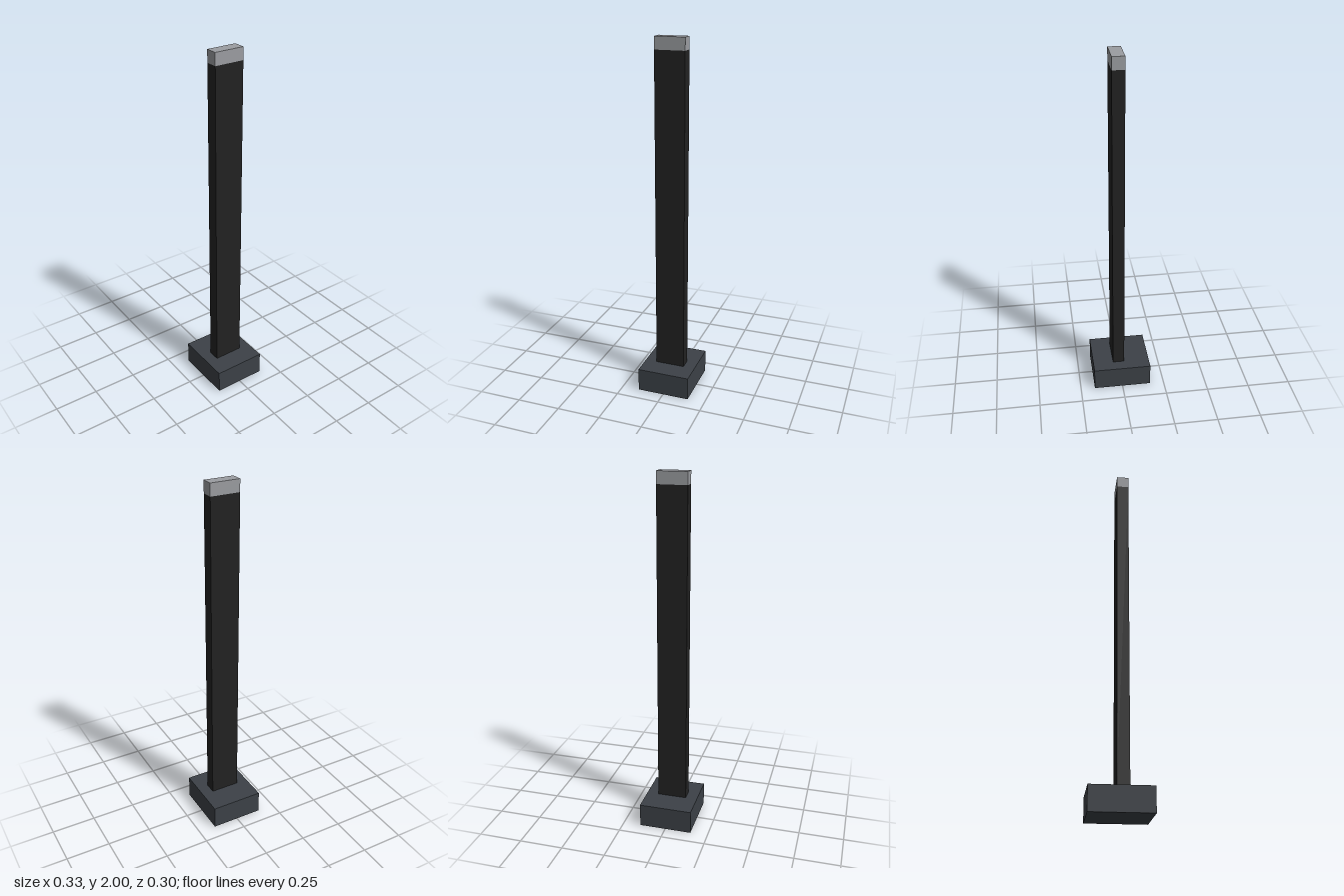
import * as THREE from 'three';

const baseMat = new THREE.MeshStandardMaterial({ name: 'slate grey', color: 0x3c4147 });
const postMat = new THREE.MeshStandardMaterial({ name: 'near black', color: 0x222222 });
const capMat = new THREE.MeshStandardMaterial({ name: 'light grey', color: 0x9b9da1 });

// Box standing on height y
function block(name, material, w, h, d, x, y) {
  const mesh = new THREE.Mesh(new THREE.BoxGeometry(w, h, d), material);
  mesh.name = name;
  mesh.position.set(x, y + h / 2, 0);
  return mesh;
}

export function createModel() {
  const group = new THREE.Group();
  group.name = 'post';
  const baseH = 0.133, capH = 0.067, postX = 0.015;

  // Foot block, with the slim post set slightly off centre
  group.add(block('base', baseMat, 0.334, baseH, 0.3, 0, 0));
  group.add(block('shaft', postMat, 0.067, 2 - baseH - capH, 0.167, postX, baseH));

  // Pale cap finishing the shaft
  group.add(block('cap', capMat, 0.067, capH, 0.167, postX, 2 - capH));
  return group;
}
